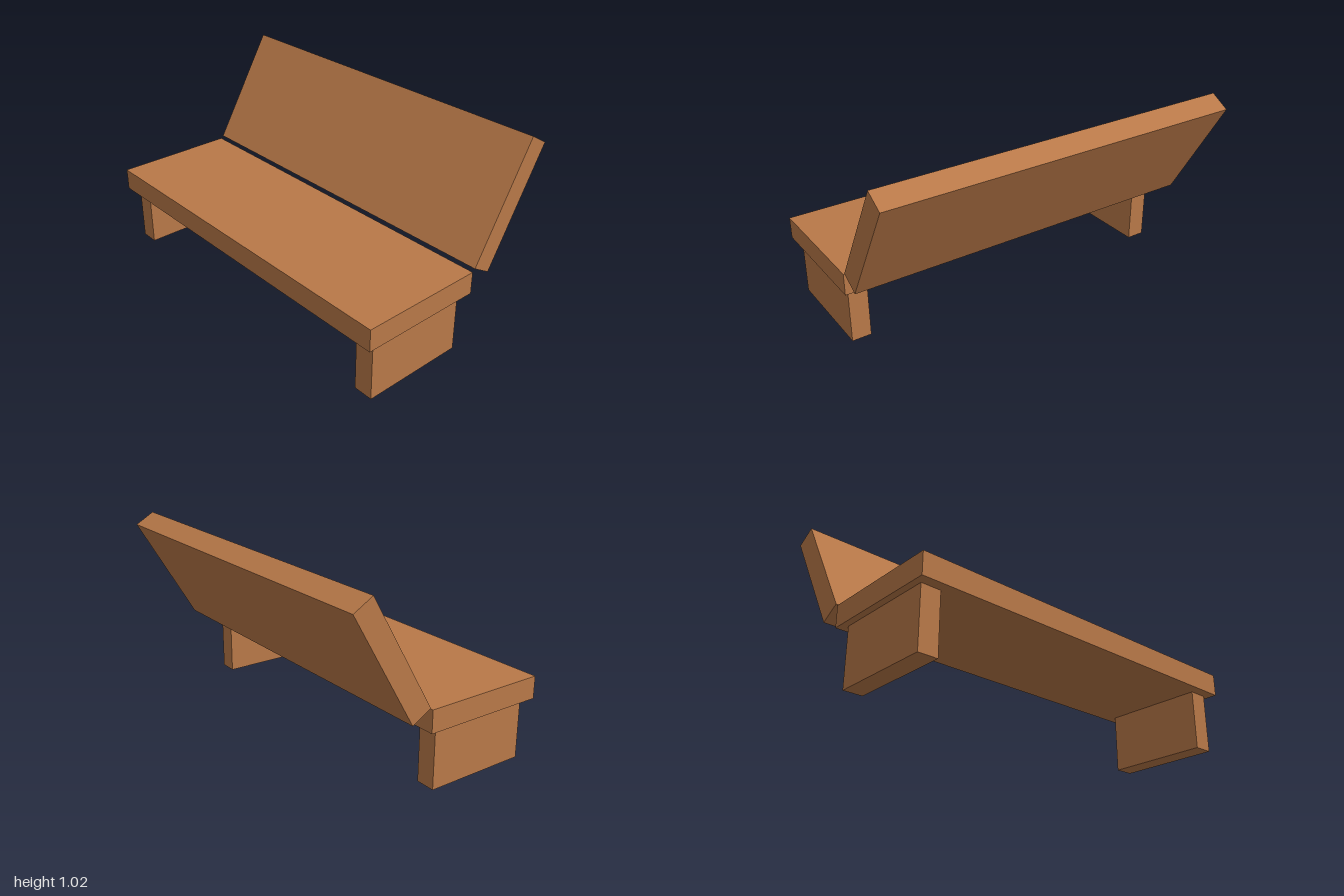
import * as THREE from 'three';

export function createModel() {
  const bench = new THREE.Group();
  bench.name = 'bench';
  const wood = new THREE.MeshStandardMaterial({ color: 0xb87848 });
  wood.name = 'warm wood';

  const addBoard = (name, size, position) => {
    const mesh = new THREE.Mesh(new THREE.BoxGeometry(...size), wood);
    mesh.name = name;
    mesh.position.set(...position);
    bench.add(mesh);
    return mesh;
  };

  // Seat plank
  addBoard('seat', [2, 0.118, 0.667], [0, 0.375, 0.229]);

  // Backrest plank, leaning backwards behind the seat
  const backrest = addBoard('backrest', [2, 0.118, 0.669], [0, 0.7055, -0.339]);
  backrest.rotation.x = Math.PI / 2 - 0.53;

  // Slab legs near each end
  for (const [name, side] of [['leftLeg', 1], ['rightLeg', -1]]) {
    addBoard(name, [0.104, 0.316, 0.558], [side * 0.913, 0.158, 0.229]);
  }

  return bench;
}
